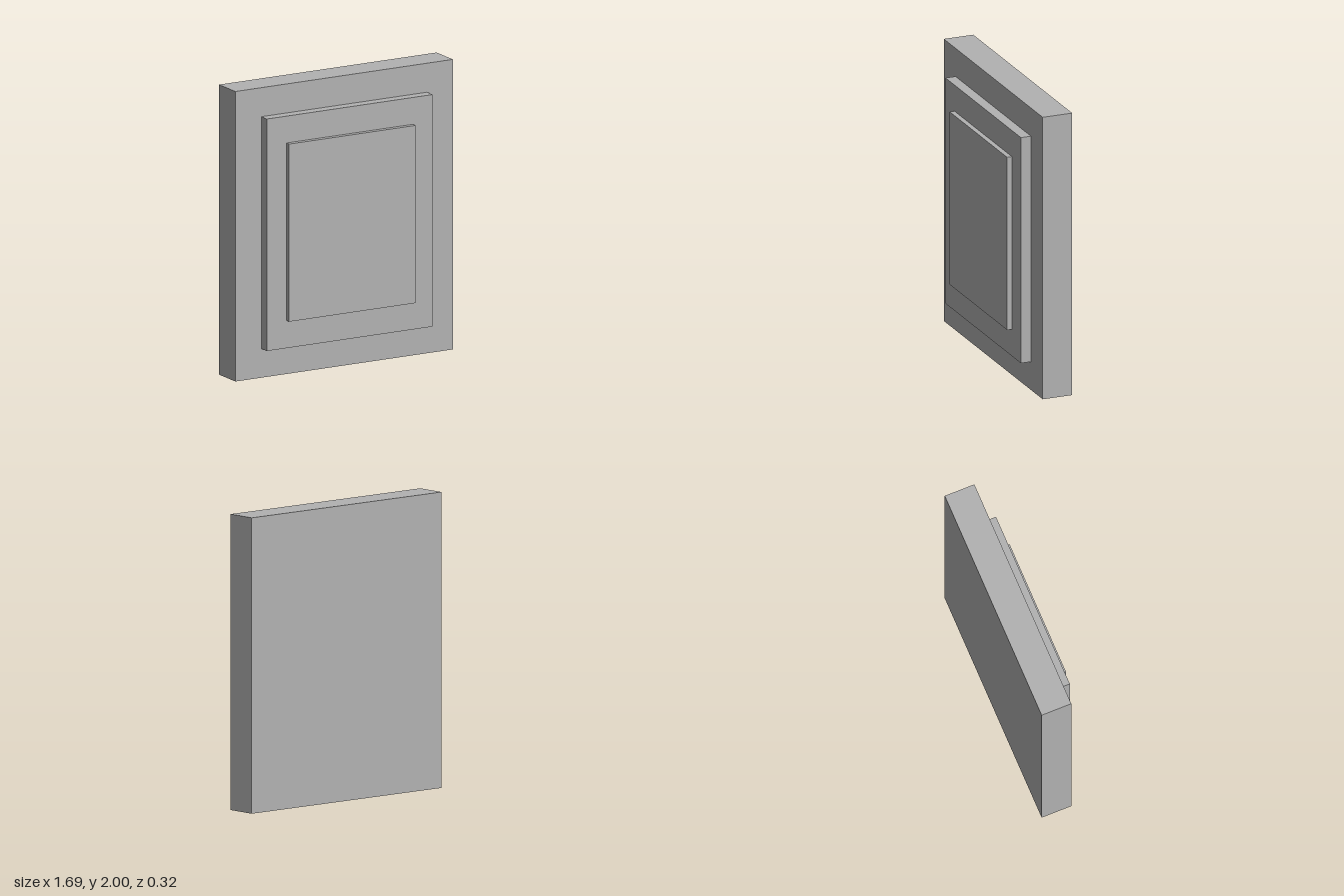
import * as THREE from 'three';

export function createModel() {
  const model = new THREE.Group();
  model.name = 'steppedPanel';

  const grey = new THREE.MeshStandardMaterial({ color: 0xb2b2b2 });
  grey.name = 'plain grey';

  // Adds a slab spanning the given heights and depths, centred on x = 0
  function addSlab(name, width, y0, y1, z0, z1) {
    const slab = new THREE.Mesh(new THREE.BoxGeometry(width, y1 - y0, z1 - z0), grey);
    slab.name = name;
    slab.position.set(0, (y0 + y1) / 2, (z0 + z1) / 2);
    model.add(slab);
  }

  // Thick backing slab with two raised panels stepping forward
  addSlab('backSlab', 1.688, 0, 2, -0.161, 0.053);
  addSlab('middlePanel', 1.286, 0.2, 1.8, 0.053, 0.126);
  addSlab('frontPanel', 0.98, 0.39, 1.615, 0.126, 0.161);

  return model;
}
